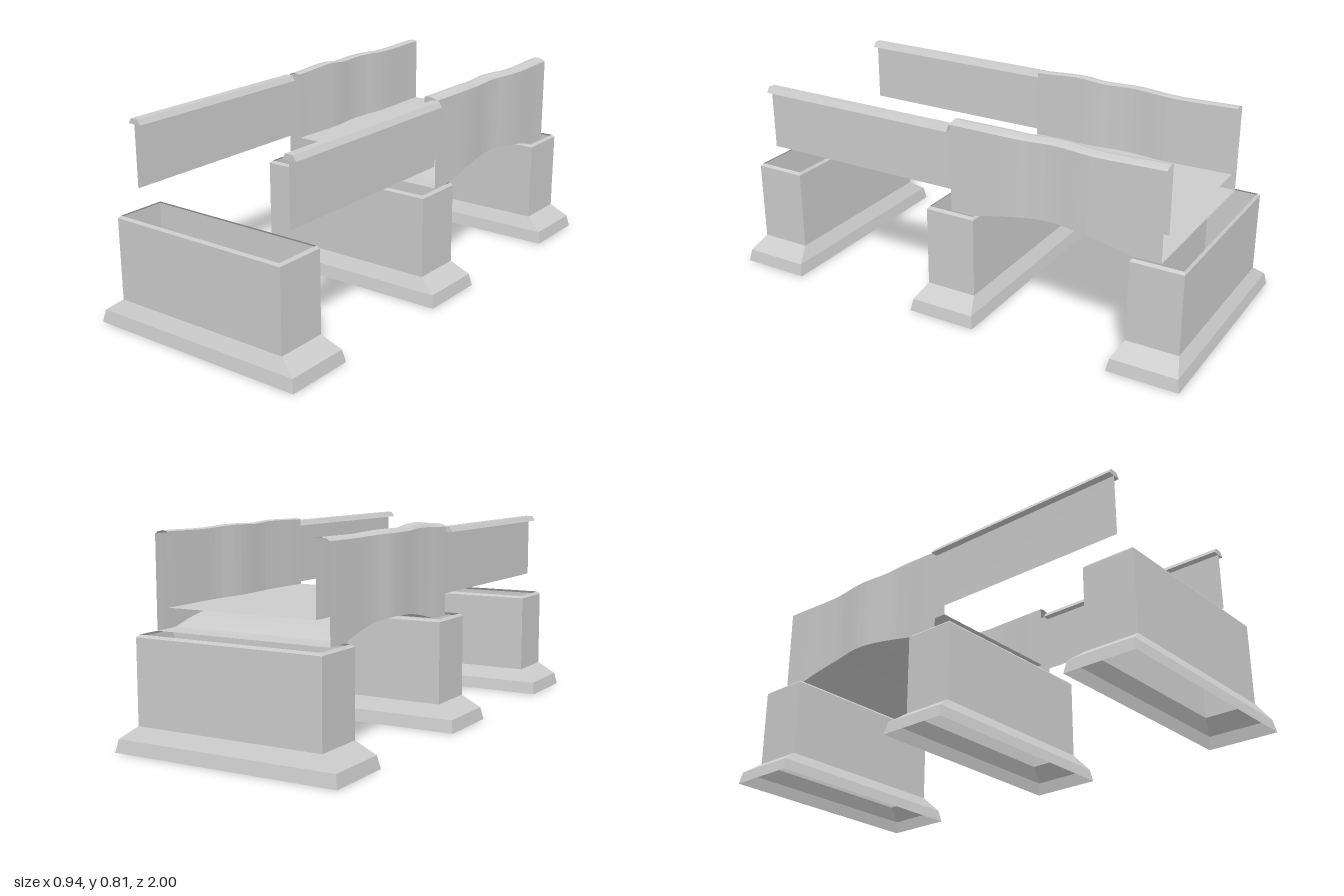
import * as THREE from 'three';

const material = new THREE.MeshStandardMaterial({ color: 0xcccccc, flatShading: true, side: THREE.DoubleSide });

// Skins a list of equal-length cross-sections (arrays of [x, y, z])
function loft(name, sections) {
  const n = sections[0].length, index = [];
  for (let i = 0; i < sections.length - 1; i++) {
    for (let j = 0; j < n - 1; j++) {
      const a = i * n + j, d = a + n;
      index.push(a, a + 1, d + 1, a, d + 1, d);
    }
  }
  const g = new THREE.BufferGeometry();
  g.setAttribute('position', new THREE.Float32BufferAttribute(sections.flat(2), 3));
  g.setIndex(index);
  g.computeVertexNormals();
  const mesh = new THREE.Mesh(g, material);
  mesh.name = name;
  return mesh;
}

// Smooth interpolation through [z, value] knots, z descending
function ease(knots, z) {
  for (let i = 0; i < knots.length - 1; i++) {
    const [z0, v0] = knots[i], [z1, v1] = knots[i + 1];
    if (z >= z1) return v0 + (v1 - v0) * THREE.MathUtils.smoothstep(z0 - z, 0, z0 - z1);
  }
  return knots[knots.length - 1][1];
}

const START = 0.01, END = -0.865, DECK = 0.525, MID_X = 0.005;
const meander = [[START, 0.002], [-0.2, 0.0075], [-0.41, -0.0075], [-0.58, 0.0075], [END, -0.001]];
const bumps = {
  '-1': [[START, 0], [-0.19, 0.012], [-0.31, 0.001], [-0.45, 0.003], [-0.65, -0.003], [END, 0]],
  '1': [[START, 0], [-0.2, 0.003], [-0.31, -0.002], [-0.45, 0.002], [-0.65, -0.004], [END, 0]],
};
const stations = Array.from({ length: 25 }, (_, i) => START + (END - START) * i / 24);
const centreX = z => MID_X + ease(meander, z);

// Underside height: flat over the piers, arched between them
function archY(z) {
  const t = (z + 0.425) / 0.335;
  return 0.437 + 0.05 * Math.max(0, 1 - t * t);
}

// Hollow pier with a flared foot and a bevelled rim
function pier(z) {
  const levels = [[0.47, 0, 0.145], [0.46, 0.05, 0.135], [0.39, 0.1, 0.106], [0.39, 0.425, 0.106], [0.38, 0.435, 0.098]];
  const corners = [[1, 1], [1, -1], [-1, -1], [-1, 1], [1, 1]];
  const mesh = loft('pier', levels.map(([w, y, d]) => corners.map(([sx, sz]) => [sx * w, y, sz * d])));
  mesh.position.z = z;
  return mesh;
}

// Wavy hollow wall: inner face, uneven coping, outer face down to the arch
function parapet(side) {
  return loft(side > 0 ? 'leftParapet' : 'rightParapet', stations.map(z => {
    const cx = centreX(z), b = ease(bumps[side], z);
    const profile = [
      [0.3125, DECK], [0.3125, 0.799 + b], [0.333, 0.803 + b],
      [0.357, 0.798 + b], [0.3675, 0.79 + b * 0.5], [0.3675, archY(z)],
    ].map(([x, y]) => [cx + side * x, y, z]);
    return side > 0 ? profile : profile.reverse();
  }));
}

// Thin straight railing panel under a tapered cap
function railing(side) {
  const rail = new THREE.Group();
  rail.name = side > 0 ? 'leftRailing' : 'rightRailing';
  const length = 0.87;
  const panel = new THREE.Mesh(new THREE.PlaneGeometry(length, 0.245), material);
  panel.name = 'railingPanel';
  panel.rotation.y = side * Math.PI / 2;
  panel.position.set(0, DECK + 0.1225, START + length / 2);
  const shape = new THREE.Shape([[-0.03, 0.769], [0.03, 0.769], [0.016, 0.79], [-0.016, 0.79]]
    .map(p => new THREE.Vector2(...p)));
  const cap = new THREE.Mesh(new THREE.ExtrudeGeometry(shape, { depth: length, bevelEnabled: false }), material);
  cap.name = 'railingCap';
  cap.position.z = START;
  rail.add(panel, cap);
  rail.position.x = MID_X + side * 0.365;
  return rail;
}

export function createModel() {
  const model = new THREE.Group();
  model.name = 'bridge';

  for (const z of [0.855, 0.008, -0.855]) model.add(pier(z));

  // Flat walkway between the parapets
  model.add(loft('deck', stations.map(z => [-1, 1].map(s => [centreX(z) + s * 0.3125, DECK, z]))));
  // Curved underside joining the outer walls
  model.add(loft('archUnderside', stations.map(z => [1, -1].map(s => [centreX(z) + s * 0.3675, archY(z), z]))));

  for (const side of [-1, 1]) model.add(parapet(side), railing(side));
  return model;
}
